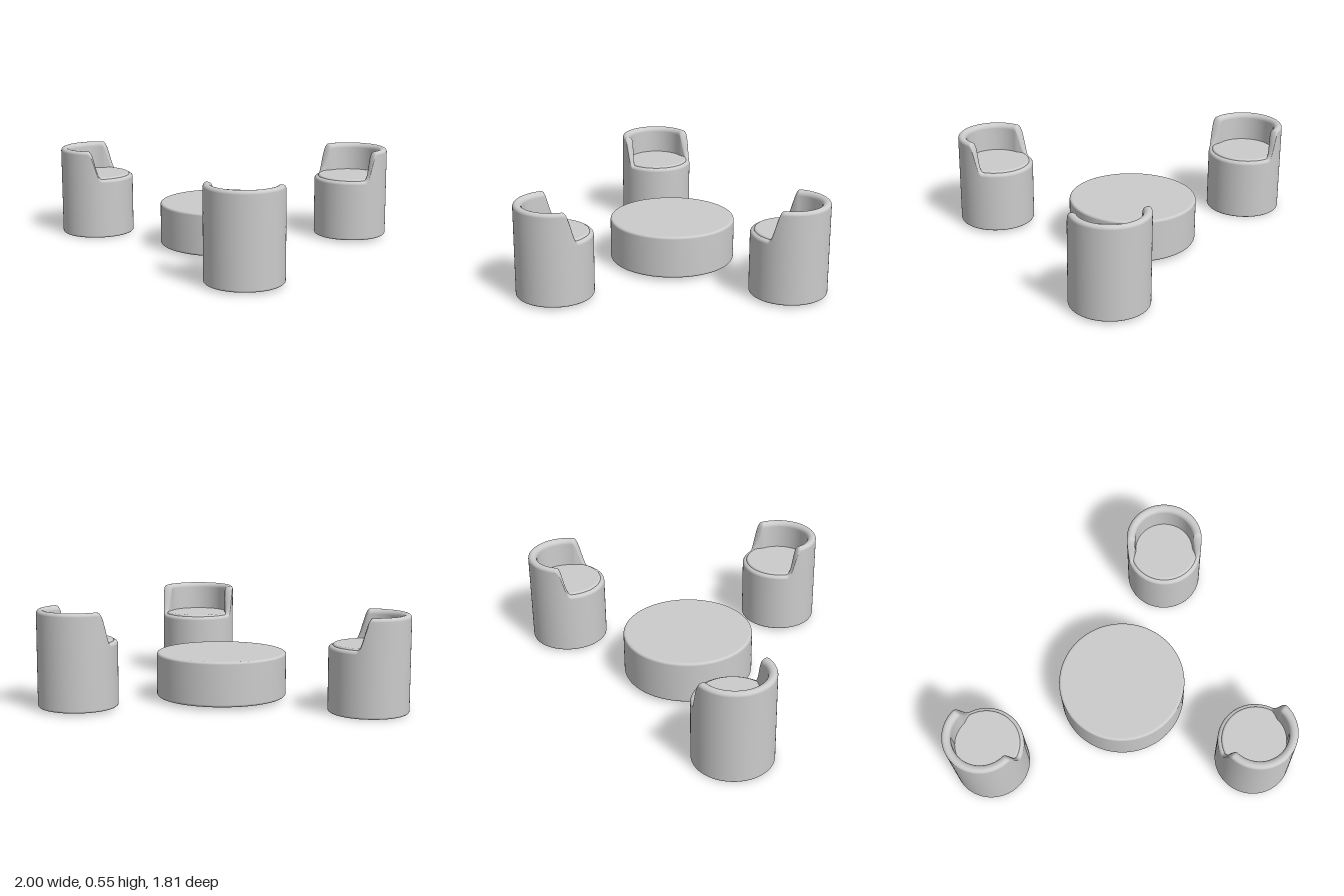
import * as THREE from 'three';
import { mergeVertices } from 'three/addons/utils/BufferGeometryUtils.js';

const material = new THREE.MeshStandardMaterial({ color: 0xcccccc });
const shellMaterial = new THREE.MeshStandardMaterial({ color: 0xcccccc, side: THREE.DoubleSide });

// Quarter-round corner points, from angle a0 to a1 (degrees)
function corner(cx, cy, r, a0, a1, n = 6) {
  return Array.from({ length: n + 1 }, (_, i) => {
    const a = THREE.MathUtils.degToRad(a0 + (a1 - a0) * i / n);
    return new THREE.Vector2(cx + r * Math.cos(a), cy + r * Math.sin(a));
  });
}

// Lathe with welded seam; an optional rule moves each vertex
function turned(points, segments, rule) {
  let geo = new THREE.LatheGeometry(points, segments);
  geo.deleteAttribute('uv');
  geo.deleteAttribute('normal');
  if (rule) {
    const p = geo.attributes.position, v = new THREE.Vector3();
    for (let i = 0; i < p.count; i++) {
      rule(v.fromBufferAttribute(p, i));
      p.setXYZ(i, v.x, v.y, v.z);
    }
  }
  geo = mergeVertices(geo, 1e-5);
  geo.computeVertexNormals();
  return geo;
}

// Solid disc with rounded rims
function roundedDisc(radius, y0, y1, r, segments) {
  return turned([
    new THREE.Vector2(0, y0),
    new THREE.Vector2(radius - r * 1.5, y0),
    ...corner(radius - r, y0 + r, r, -90, 0),
    ...corner(radius - r, y1 - r, r, 0, 90),
    new THREE.Vector2(radius - r * 1.5, y1),
    new THREE.Vector2(0, y1),
  ], segments);
}

const R = 0.222, HEIGHT = 0.54, LIP = 0.365;

// Tub: tall wall around the back (+x), dropping to a thin lip at the open front
function tubGeometry() {
  const profile = [
    new THREE.Vector2(0, 0),
    new THREE.Vector2(R - 0.02, 0),
    ...corner(R - 0.012, 0.012, 0.012, -90, 0, 4),
    ...corner(R - 0.02, HEIGHT - 0.02, 0.02, 0, 90),
    ...corner(0.2, HEIGHT - 0.028, 0.028, 90, 180),
    new THREE.Vector2(0.17, 0.32),
  ];
  return turned(profile, 180, (v) => {
    if (v.y < 0.3) return;
    const angle = THREE.MathUtils.radToDeg(Math.abs(Math.atan2(v.z, v.x)));
    const low = THREE.MathUtils.smootherstep(angle, 87, 112);
    if (v.y > 0.4) v.y -= low * (HEIGHT - LIP);
    // thin the wall towards the open front
    const r = Math.hypot(v.x, v.z);
    if (r < 0.199) {
      const k = (r + low * (0.199 - r) * 0.8) / r;
      v.x *= k;
      v.z *= k;
    }
  });
}

const tub = tubGeometry();
const cushion = roundedDisc(0.2, 0.31, 0.375, 0.012, 96);

function makeChair(name, x, y, z, backAngle) {
  const chair = new THREE.Group();
  chair.name = name;
  const shell = new THREE.Mesh(tub, shellMaterial);
  shell.name = 'tubShell';
  const seat = new THREE.Mesh(cushion, material);
  seat.name = 'seatCushion';
  chair.add(shell, seat);
  chair.position.set(x, y, z);
  chair.rotation.y = -THREE.MathUtils.degToRad(backAngle);
  return chair;
}

export function createModel() {
  const model = new THREE.Group();
  model.name = 'loungeSet';

  // Low round table
  const table = new THREE.Mesh(roundedDisc(0.37, 0.018, 0.27, 0.014, 128), material);
  table.name = 'roundTable';
  table.position.set(-0.05, 0, -0.19);
  model.add(table);

  // Three tub chairs; the angle is the direction of the backrest, from +x towards +z
  model.add(
    makeChair('rightChair', -0.778, 0, -0.685, 195),
    makeChair('leftChair', 0.778, 0.012, -0.335, -31),
    makeChair('frontChair', -0.05, 0.012, 0.682, 109),
  );
  return model;
}
